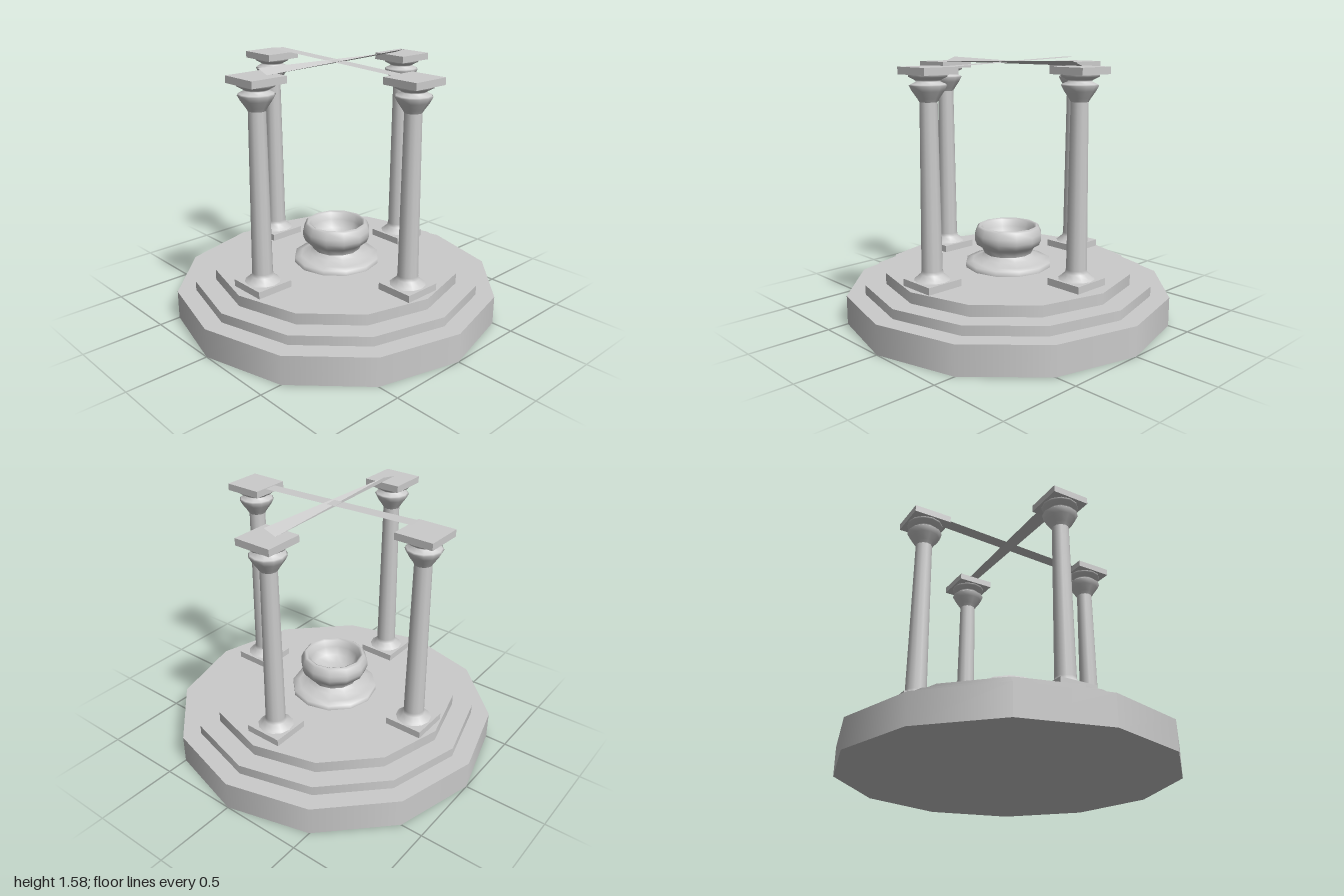
import * as THREE from 'three';

const SIDES = 12;
const grey = new THREE.MeshStandardMaterial({ color: 0xcccccc });
const thin = new THREE.MeshStandardMaterial({ color: 0xcccccc, side: THREE.DoubleSide, flatShading: true });

function add(parent, name, geometry, x = 0, y = 0, z = 0, material = grey) {
  const mesh = new THREE.Mesh(geometry, material);
  mesh.name = name;
  mesh.position.set(x, y, z);
  parent.add(mesh);
  return mesh;
}

// Surface of revolution from [radius, height] pairs, listed upwards on the outside
function lathe(profile) {
  return new THREE.LatheGeometry(profile.map(([r, y]) => new THREE.Vector2(r, y)), SIDES);
}

// Thin strip through four corners: a-b is one end, c-d the other
function strip(a, b, c, d) {
  const g = new THREE.BufferGeometry();
  g.setAttribute('position', new THREE.Float32BufferAttribute([...a, ...b, ...c, ...d], 3));
  g.setIndex([0, 1, 2, 1, 3, 2]);
  g.computeVertexNormals();
  return g;
}

function makeColumn(x, z) {
  const column = new THREE.Group();
  column.name = 'column';
  column.position.set(x, 0, z);
  add(column, 'plinth', new THREE.BoxGeometry(0.235, 0.045, 0.235), 0, 0.322, 0);
  add(column, 'shaft', lathe([
    [0.108, 0.343], [0.095, 0.352], [0.066, 0.378], [0.061, 0.4], [0.05, 1.365],
  ]));
  add(column, 'capital', lathe([
    [0.05, 1.355], [0.062, 1.375], [0.09, 1.415], [0.106, 1.445], [0.098, 1.452],
    [0.066, 1.467], [0.075, 1.476], [0.108, 1.493], [0.108, 1.507],
  ]));
  add(column, 'abacus', new THREE.BoxGeometry(0.235, 0.041, 0.235), 0, 1.5255, 0);
  return column;
}

export function createModel() {
  const model = new THREE.Group();
  model.name = 'pavilion';

  // Stepped twelve-sided platform
  for (const [name, r, y0, y1] of [
    ['lowerStep', 1, 0, 0.177],
    ['middleStep', 0.887, 0.177, 0.235],
    ['upperStep', 0.762, 0.235, 0.302],
  ]) {
    add(model, name, new THREE.CylinderGeometry(r, r, y1 - y0, SIDES), 0, (y0 + y1) / 2, 0);
  }

  // Four columns, one on each axis
  for (const [x, z] of [[-0.587, 0], [0.563, 0], [0, -0.605], [0, 0.605]]) {
    model.add(makeColumn(x, z));
  }

  // Basin: flared foot, neck and hollow bowl
  const basin = new THREE.Group();
  basin.name = 'basin';
  model.add(basin);
  add(basin, 'foot', lathe([[0.268, 0.3], [0.268, 0.333], [0.225, 0.34], [0.17, 0.358], [0.145, 0.385]]));
  add(basin, 'bowl', lathe([
    [0.142, 0.34], [0.146, 0.38], [0.165, 0.42], [0.198, 0.44], [0.212, 0.475], [0.212, 0.51],
    [0.195, 0.548], [0.182, 0.558], [0.166, 0.55], [0.15, 0.51], [0.13, 0.46], [0.08, 0.43], [0, 0.425],
  ]));

  // Crossing roof strips: one sloped, one twisted
  const w = 0.04, e = 0.543, low = 1.547, high = 1.575;
  add(model, 'slopedStrip', strip([-w, 1.54, e], [w, 1.54, e], [-w, high, -e], [w, high, -e]), 0, 0, 0, thin);
  add(model, 'twistedStrip', strip([-e, high, -w], [-e, low, w], [e, low, -w], [e, high, w]), 0, 0, 0, thin);

  return model;
}
